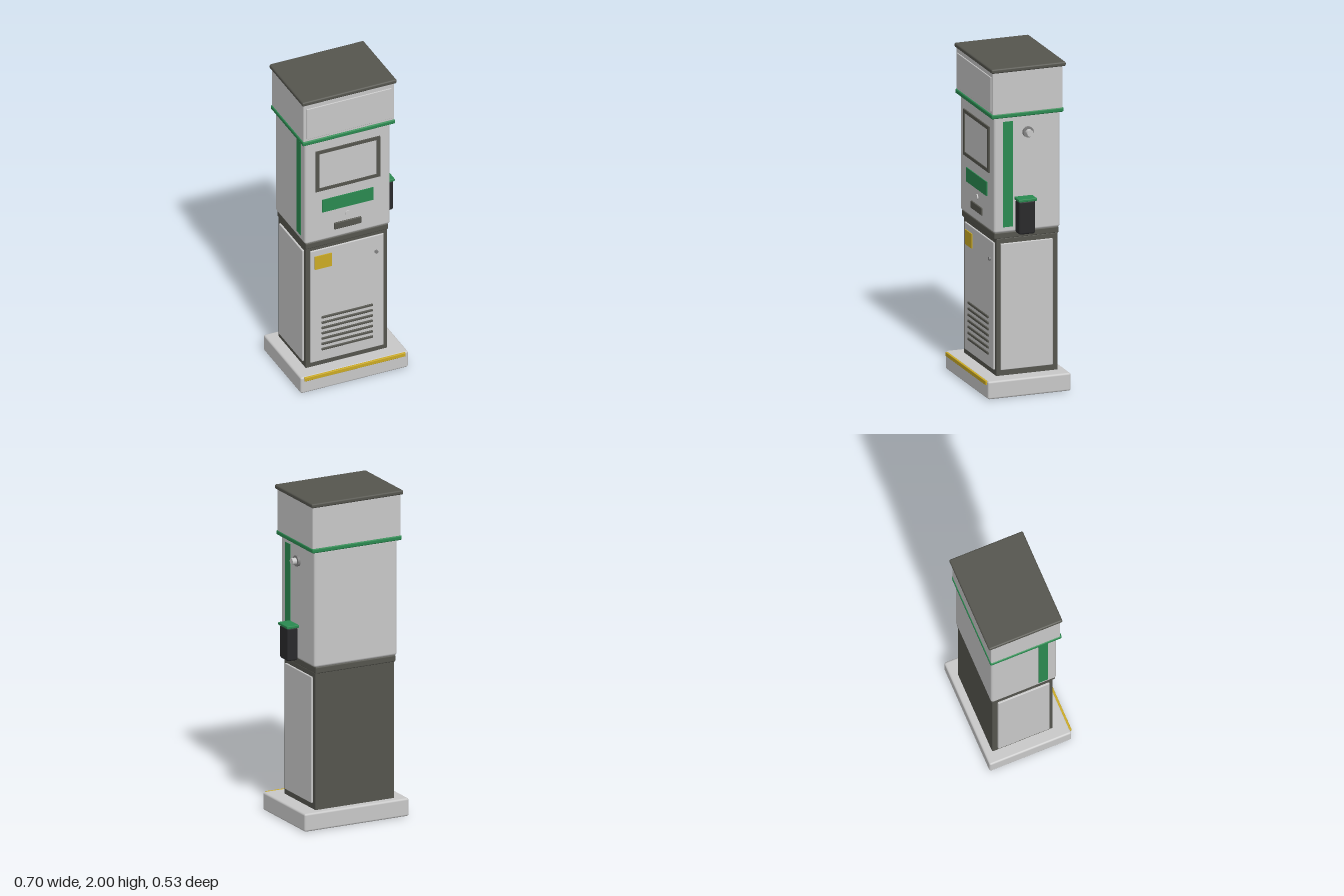
import * as THREE from 'three';
import { RoundedBoxGeometry } from 'three/addons/geometries/RoundedBoxGeometry.js';

const mat = (name, color) => {
  const m = new THREE.MeshStandardMaterial({ color });
  m.name = name;
  return m;
};

export function createModel() {
  const light = mat('light grey', 0xc8c8c8);
  const dark = mat('dark grey', 0x55554e);
  const green = mat('green', 0x2a8a50);
  const yellow = mat('yellow', 0xcbaa24);
  const black = mat('black', 0x29292b);
  const metal = mat('metal grey', 0x808080);

  const model = new THREE.Group();
  model.name = 'fuelDispenser';

  const add = (name, geometry, material, x, y, z) => {
    const m = new THREE.Mesh(geometry, material);
    m.name = name;
    m.position.set(x, y, z);
    model.add(m);
    return m;
  };

  // box given by its limits on each axis, rounded when r > 0
  const box = (name, material, [x0, x1], [y0, y1], [z0, z1], r = 0) => {
    const s = [x1 - x0, y1 - y0, z1 - z0];
    const g = r ? new RoundedBoxGeometry(...s, 2, r) : new THREE.BoxGeometry(...s);
    return add(name, g, material, (x0 + x1) / 2, (y0 + y1) / 2, (z0 + z1) / 2);
  };

  // plinth with warning strip
  box('plinth', light, [-0.35, 0.346], [0, 0.11], [-0.266, 0.256], 0.012);
  box('plinthStrip', yellow, [-0.328, 0.324], [0.084, 0.109], [0.25, 0.264], 0.003);

  // lower cabinet
  box('lowerCabinet', dark, [-0.277, 0.25], [0.1, 0.95], [-0.219, 0.167], 0.006);
  box('cabinetDoor', light, [-0.25, 0.224], [0.142, 0.92], [0.16, 0.176], 0.004);
  box('leftSidePanel', light, [0.245, 0.26], [0.145, 0.918], [-0.185, 0.142], 0.004);
  box('rightSidePanel', light, [-0.288, -0.272], [0.145, 0.918], [-0.185, 0.142], 0.004);
  for (let i = 0; i < 7; i++) {
    const y = 0.222 + i * 0.037;
    box('ventSlat', dark, [-0.18, 0.15], [y - 0.007, y + 0.007], [0.172, 0.184], 0.003);
  }
  box('warningLabel', yellow, [-0.224, -0.116], [0.79, 0.88], [0.174, 0.182]);
  const lock = add('doorLock', new THREE.CylinderGeometry(0.011, 0.011, 0.016, 16), metal, 0.173, 0.81, 0.179);
  lock.rotation.x = Math.PI / 2;

  // collar and upper body
  box('collar', dark, [-0.282, 0.251], [0.945, 0.987], [-0.225, 0.18], 0.008);
  box('upperBody', light, [-0.29, 0.262], [0.985, 1.7], [-0.23, 0.185], 0.015);

  // display with a raised frame
  const frame = new THREE.Shape([[-0.208, -0.14], [0.208, -0.14], [0.208, 0.14], [-0.208, 0.14]]
    .map(p => new THREE.Vector2(...p)));
  frame.holes.push(new THREE.Path([[-0.186, -0.12], [-0.186, 0.12], [0.186, 0.12], [0.186, -0.12]]
    .map(p => new THREE.Vector2(...p))));
  add('displayFrame', new THREE.ExtrudeGeometry(frame, { depth: 0.012, bevelEnabled: false }),
    dark, -0.016, 1.48, 0.182);
  box('displayScreen', light, [-0.203, 0.171], [1.359, 1.601], [0.182, 0.188]);

  // front controls
  box('greenPanel', green, [-0.18, 0.15], [1.186, 1.272], [0.182, 0.191]);
  const button = add('button', new THREE.CylinderGeometry(0.018, 0.018, 0.012, 24), light, -0.015, 1.136, 0.186);
  button.rotation.x = Math.PI / 2;
  box('cardSlot', dark, [-0.103, 0.071], [1.045, 1.09], [0.18, 0.193], 0.004);

  // green stripes on both sides
  box('leftStripe', green, [0.257, 0.265], [1.02, 1.665], [0.07, 0.13]);
  box('rightStripe', green, [-0.293, -0.285], [1.02, 1.665], [0.07, 0.13]);

  // hose outlet on the left side
  const flange = add('outletFlange', new THREE.CylinderGeometry(0.033, 0.033, 0.02, 32), metal, 0.268, 1.59, -0.025);
  const outlet = add('outletNozzle', new THREE.CylinderGeometry(0.02, 0.02, 0.035, 32), light, 0.289, 1.59, -0.025);
  flange.rotation.z = outlet.rotation.z = -Math.PI / 2;

  // nozzle holster
  box('holsterBracket', metal, [0.255, 0.275], [1.02, 1.17], [-0.02, 0.035]);
  box('holster', black, [0.272, 0.341], [0.985, 1.19], [-0.044, 0.058], 0.012);
  box('holsterLid', green, [0.268, 0.348], [1.186, 1.203], [-0.052, 0.063], 0.004);

  // head
  box('headBand', green, [-0.314, 0.283], [1.692, 1.72], [-0.245, 0.209], 0.008);
  box('head', light, [-0.308, 0.28], [1.715, 1.98], [-0.24, 0.202], 0.006);
  box('headFrontPanel', light, [-0.288, 0.26], [1.735, 1.945], [0.198, 0.208], 0.003);
  box('headCap', dark, [-0.318, 0.292], [1.973, 2], [-0.256, 0.212], 0.009);

  return model;
}
